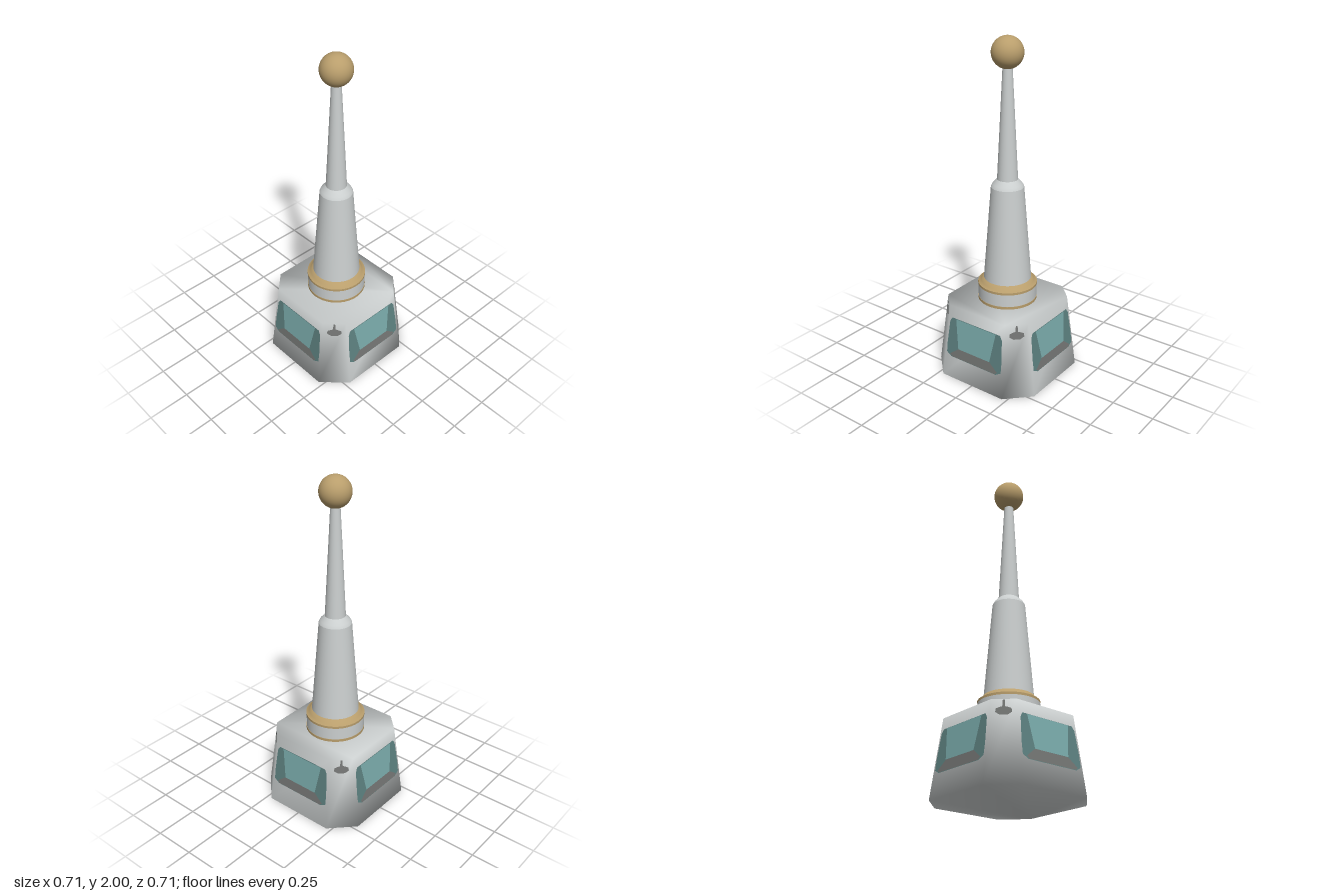
import * as THREE from 'three';

const mat = (name, color) => {
  const m = new THREE.MeshStandardMaterial({ color });
  m.name = name;
  return m;
};

// Ring of eight corners of a square with cut corners
const octagon = (half, cut, y) => [
  [cut, half], [half, cut], [half, -cut], [cut, -half],
  [-cut, -half], [-half, -cut], [-half, cut], [-cut, half],
].map(([x, z]) => [x, y, z]);

// Tapered block with softly shared normals
function blockGeometry() {
  const rings = [...octagon(0.354, 0.22, 0), ...octagon(0.295, 0.2, 0.45)];
  const index = [];
  for (let i = 0; i < 8; i++) {
    const j = (i + 1) % 8;
    index.push(i, j, j + 8, i, j + 8, i + 8);
    if (i > 0 && i < 7) index.push(0, i + 1, i, 8, 8 + i, 9 + i);
  }
  const g = new THREE.BufferGeometry();
  g.setAttribute('position', new THREE.Float32BufferAttribute(rings.flat(), 3));
  g.setIndex(index);
  g.computeVertexNormals();
  return g;
}

// Flat painted shape laid on a sloping wall
function wallPlate(points, foot, slope, lift) {
  const g = new THREE.ShapeGeometry(new THREE.Shape(points.map((p) => new THREE.Vector2(...p))));
  const p = g.attributes.position;
  for (let i = 0; i < p.count; i++) p.setZ(i, foot - slope * p.getY(i) + lift);
  g.computeVertexNormals();
  return g;
}

// Right half of an outline, bottom to top, mirrored to the left
const mirror = (half) => [...half, ...half.map(([x, y]) => [-x, y]).reverse()];

export function createModel() {
  const root = new THREE.Group();
  const grey = mat('pale grey', 0xcbcfcf);
  const gold = mat('gold', 0xb99e6c);
  const glass = mat('teal glass', 0x7aabab);
  const frame = mat('dark teal', 0x5d8180);
  const dark = mat('dark grey', 0x747674);

  const add = (name, geometry, material, parent = root) => {
    const mesh = new THREE.Mesh(geometry, material);
    mesh.name = name;
    parent.add(mesh);
    return mesh;
  };
  const lathe = (points) =>
    new THREE.LatheGeometry(points.map((p) => new THREE.Vector2(...p)), 40);

  add('base', blockGeometry(), grey);

  // Windows on the four main walls
  const windowParts = [
    ['windowFrame', frame, 0.002, mirror([[0.165, 0.135], [0.2, 0.155], [0.2, 0.22], [0.19, 0.355], [0.175, 0.38]])],
    ['windowSill', dark, 0.003, mirror([[0.16, 0.137], [0.175, 0.15], [0.115, 0.197]])],
    ['windowPane', glass, 0.004, mirror([[0.115, 0.197], [0.145, 0.378]])],
  ];
  // Small badges on the four cut corners
  const badgeParts = [
    ['badgePlate', mirror([[0.02, 0.362], [0.043, 0.378], [0.04, 0.398], [0.012, 0.408]])],
    ['badgeStem', mirror([[0.008, 0.405], [0.005, 0.445]])],
  ];
  for (let i = 0; i < 4; i++) {
    const wall = new THREE.Group();
    wall.name = 'window';
    wall.rotation.y = i * Math.PI / 2;
    for (const [name, material, lift, pts] of windowParts)
      add(name, wallPlate(pts, 0.354, 0.131, lift), material, wall);
    root.add(wall);

    const corner = new THREE.Group();
    corner.name = 'cornerBadge';
    corner.rotation.y = (i + 0.5) * Math.PI / 2;
    for (const [name, pts] of badgeParts)
      add(name, wallPlate(pts, 0.406, 0.1245, 0.002), dark, corner);
    root.add(corner);
  }

  // Collar with gold trim
  add('collarFoot', new THREE.CylinderGeometry(0.175, 0.175, 0.016, 40), gold).position.y = 0.458;
  add('collarBand', new THREE.CylinderGeometry(0.173, 0.173, 0.082, 40), grey).position.y = 0.505;
  add('collarTop', lathe([[0.175, 0.542], [0.175, 0.556], [0.175, 0.556], [0.155, 0.564], [0.145, 0.584], [0.12, 0.586]]), gold);

  // Two-stage tapering mast
  add('lowerMast', lathe([[0.142, 0.56], [0.095, 1.15]]), grey);
  add('mastShoulder', lathe([[0.095, 1.15], [0.086, 1.168], [0.06, 1.195]]), grey);
  add('upperMast', lathe([[0.06, 1.19], [0.027, 1.84]]), grey);

  // Ball finial
  add('ball', new THREE.SphereGeometry(0.09, 40, 24), gold).position.y = 1.91;

  return root;
}
